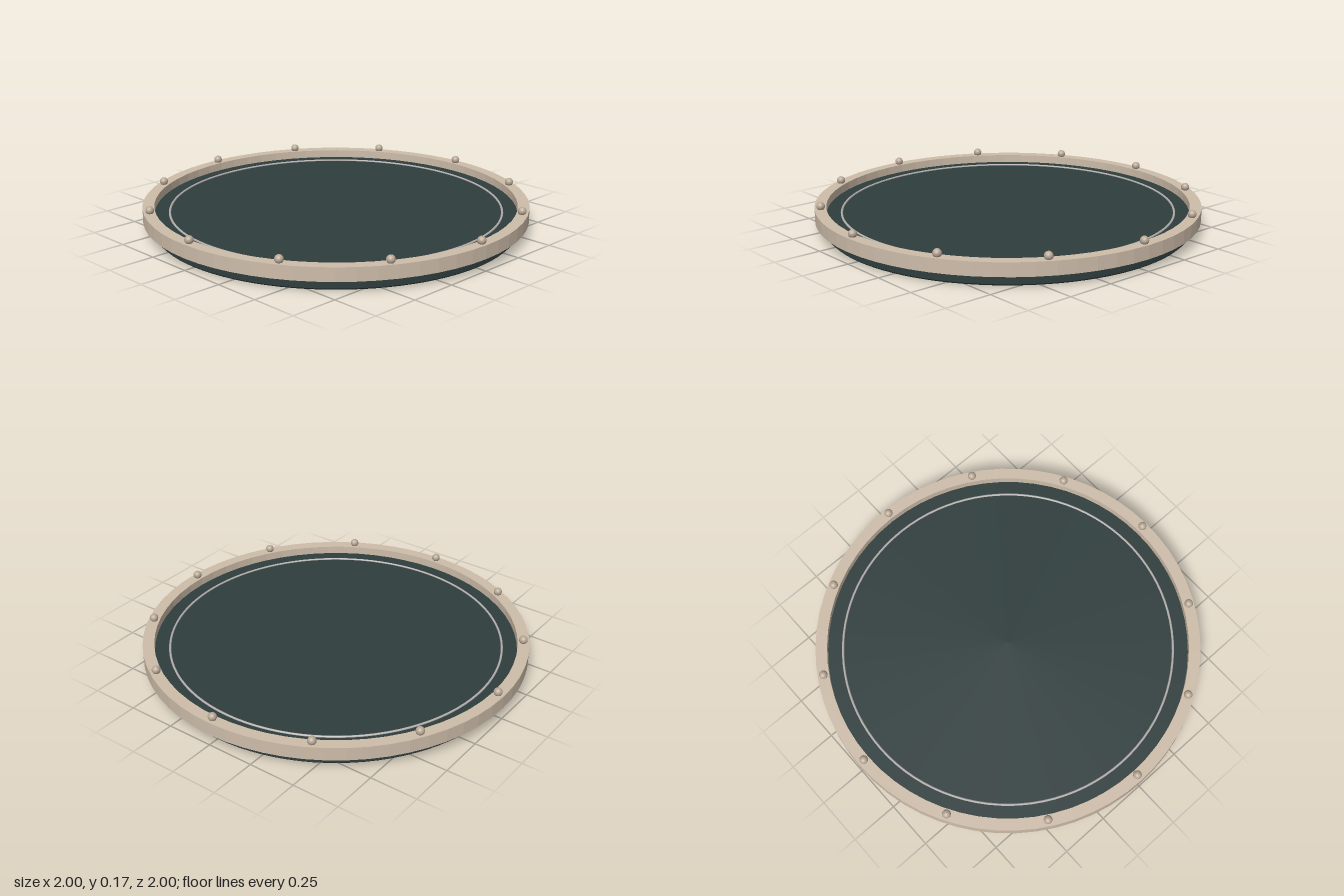
import * as THREE from 'three';

const material = (name, color) => {
  const m = new THREE.MeshStandardMaterial({ color });
  m.name = name;
  return m;
};

export function createModel() {
  const group = new THREE.Group();
  group.name = 'roundTray';
  const slate = material('dark slate', 0x2f3d3d);
  const sand = material('warm sand', 0xcebdaa);
  const bead = material('bead taupe', 0xb8a896);
  const silver = material('inlay silver', 0xb4b0ae);

  const add = (name, geometry, mat, x = 0, y = 0, z = 0) => {
    const mesh = new THREE.Mesh(geometry, mat);
    mesh.name = name;
    mesh.position.set(x, y, z);
    group.add(mesh);
    return mesh;
  };

  // Base disc with a slightly eased lower edge; doubled points keep edges crisp
  const profile = [
    [0, 0], [0.942, 0], [0.942, 0], [0.95, 0.008], [0.95, 0.008],
    [0.95, 0.088], [0.95, 0.088], [0, 0.088],
  ].map(([r, y]) => new THREE.Vector2(r, y));
  add('baseDisc', new THREE.LatheGeometry(profile, 96), slate);

  // Raised rim: a flat ring with an open centre
  const ring = new THREE.Shape().absarc(0, 0, 1, 0, Math.PI * 2, false);
  ring.holes.push(new THREE.Path().absarc(0, 0, 0.94, 0, Math.PI * 2, true));
  const rim = new THREE.ExtrudeGeometry(ring, { depth: 0.07, bevelEnabled: false, curveSegments: 32 });
  rim.rotateX(-Math.PI / 2);
  add('rim', rim, sand, 0, 0.06, 0);

  // Thin inlaid line on the floor
  const line = new THREE.TorusGeometry(0.862, 0.006, 8, 96);
  line.rotateX(Math.PI / 2);
  add('inlayRing', line, silver, 0, 0.09, 0);

  // Twelve beads around the rim
  const beadGeometry = new THREE.SphereGeometry(0.022, 20, 14);
  for (let i = 0; i < 12; i++) {
    const a = (i / 12) * Math.PI * 2;
    add(`rimBead${i + 1}`, beadGeometry, bead, Math.cos(a) * 0.968, 0.145, Math.sin(a) * 0.968);
  }
  return group;
}
